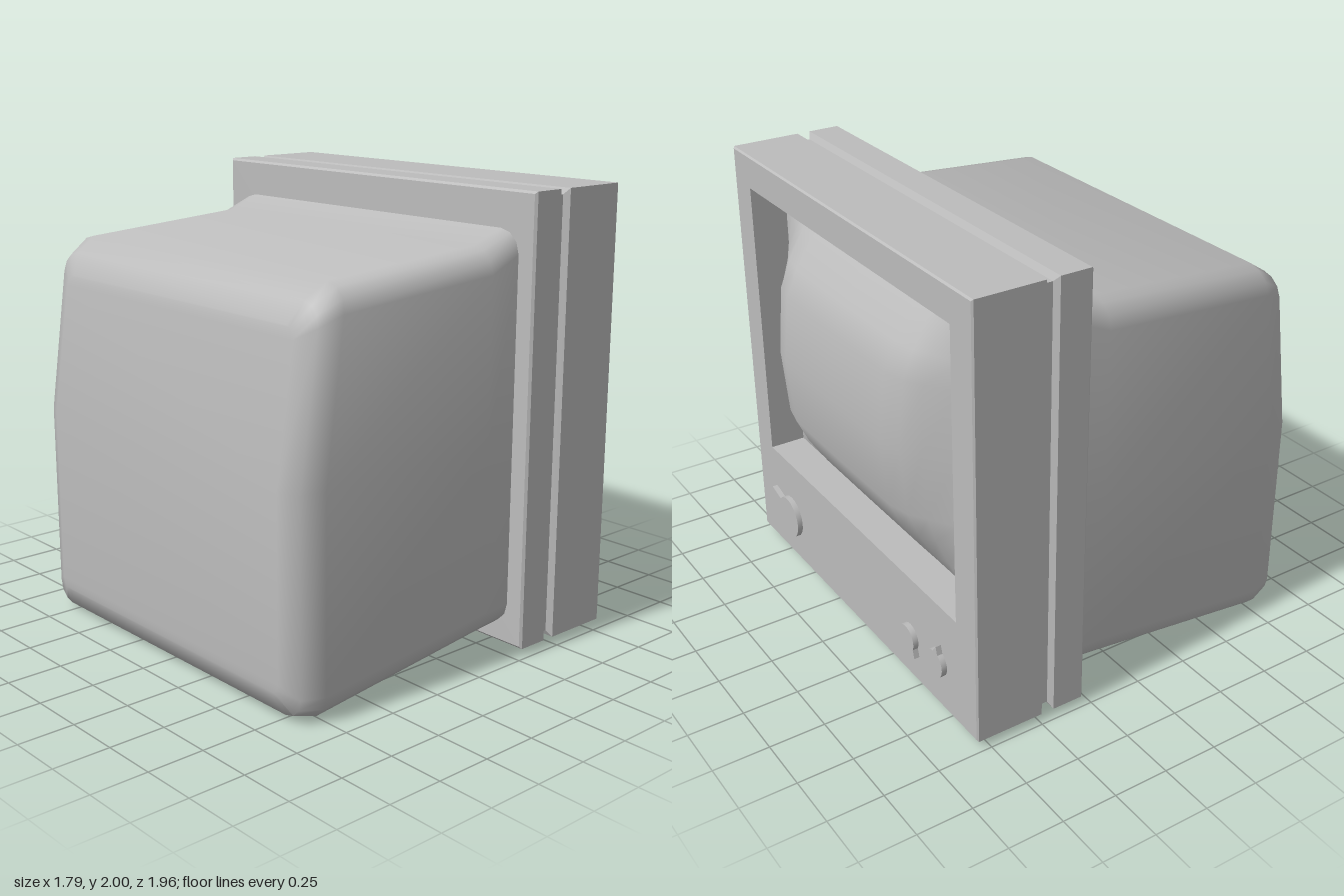
import * as THREE from 'three';
import { toCreasedNormals } from 'three/addons/utils/BufferGeometryUtils.js';

// Skin a list of equal-length closed rings (running back to front).
function loft(rings, crease, capBack = false) {
  const n = rings[0].length, pos = [];
  const quad = (a, b, c, d) => pos.push(...a, ...b, ...d, ...b, ...c, ...d);
  for (let i = 0; i < rings.length - 1; i++) {
    for (let j = 0; j < n; j++) {
      const k = (j + 1) % n;
      quad(rings[i][j], rings[i][k], rings[i + 1][k], rings[i + 1][j]);
    }
  }
  if (capBack) {
    const r = rings[0];
    for (let j = 0; j < n / 2 - 1; j++) quad(r[j], r[n - 1 - j], r[n - 2 - j], r[j + 1]);
  }
  const geo = new THREE.BufferGeometry();
  geo.setAttribute('position', new THREE.Float32BufferAttribute(pos, 3));
  return toCreasedNormals(geo, crease);
}

// Rectangle in the plane at x: top +z, bottom +z, bottom -z, top -z.
const rect = (x, y0, y1, hz) => [[x, y1, hz], [x, y0, hz], [x, y0, -hz], [x, y1, -hz]];

// Rounded section whose upper half leans from xBottom to xTop.
function bodyRing([xTop, yTop, xBottom, yBottom, hz, r]) {
  const half = [], steps = 3, yMid = 0.95;
  for (let i = 0; i <= steps; i++) {
    const a = (i / steps) * Math.PI / 2;
    half.push([yTop - r + r * Math.cos(a), hz - r + r * Math.sin(a)]);
  }
  half.push([yMid, hz]);
  for (let i = 0; i <= steps; i++) {
    const a = (i / steps) * Math.PI / 2;
    half.push([yBottom + r - r * Math.sin(a), hz - r + r * Math.cos(a)]);
  }
  const side = half.map(([y, z]) => {
    const t = Math.max(0, (y - yMid) / (yTop - yMid));
    return [xBottom + (xTop - xBottom) * t, y, z];
  });
  return [...side, ...side.slice().reverse().map(([x, y, z]) => [x, y, -z])];
}

// Bulging tube face over a coarse grid.
function screenGeometry() {
  const edge = 0.64, bulge = 0.25, yMid = 1.1975, hy = 0.6525, hz = 0.83;
  const vs = [[0, 1], [0.46, 0.88], [0.64, 0.66], [0.84, 0.32], [1, 0]];
  const ws = [[0, 1], [0.5, 0.99], [0.63, 0.88], [0.72, 0.66], [0.86, 0.32], [1, 0]];
  const mirror = (list) => [...list.slice(1).reverse().map(([p, h]) => [-p, h]), ...list];
  const rows = mirror(vs), cols = mirror(ws), pos = [], index = [];
  for (const [v, a] of rows) {
    for (const [w, b] of cols) pos.push(edge + bulge * a * b, yMid + v * hy, w * hz);
  }
  const n = cols.length;
  for (let i = 0; i < rows.length - 1; i++) {
    for (let j = 0; j < n - 1; j++) {
      const a = i * n + j, b = a + 1, c = a + n, d = c + 1;
      index.push(a, c, b, b, c, d);
    }
  }
  const geo = new THREE.BufferGeometry();
  geo.setAttribute('position', new THREE.Float32BufferAttribute(pos, 3));
  geo.setIndex(index);
  geo.computeVertexNormals();
  return geo;
}

// Round dial with a pointer spike, lying on the front panel.
function knobGeometry(r, reach, angle, spread) {
  const s = new THREE.Shape();
  s.moveTo(reach * Math.cos(angle), reach * Math.sin(angle));
  for (let i = 0; i <= 20; i++) {
    const a = angle + spread + (i / 20) * (Math.PI * 2 - spread * 2);
    s.lineTo(r * Math.cos(a), r * Math.sin(a));
  }
  s.closePath();
  const geo = new THREE.ExtrudeGeometry(s, { depth: 0.03, bevelEnabled: false });
  geo.rotateY(Math.PI / 2);
  return toCreasedNormals(geo, 0.6);
}

export function createModel() {
  const group = new THREE.Group();
  const grey = new THREE.MeshStandardMaterial({ color: 0xbcbcbc });
  grey.name = 'grey';
  const add = (name, geo) => {
    const mesh = new THREE.Mesh(geo, grey);
    mesh.name = name;
    group.add(mesh);
    return mesh;
  };

  // Rear housing: xTop, yTop, xBottom, yBottom, half width, corner radius
  const housing = [
    [-0.81, 1.57, -0.90, 0.12, 0.77, 0.05],
    [-0.76, 1.66, -0.86, 0.03, 0.86, 0.09],
    [-0.66, 1.725, -0.76, 0.005, 0.895, 0.11],
    [0.13, 1.78, 0.13, 0.105, 0.895, 0.11],
    [0.285, 1.84, 0.285, 0.125, 0.895, 0.1],
  ];
  add('rearHousing', loft(housing.map(bodyRing), 1.0, true));

  // Front frame: x and inset of the outer skin, with a groove all round
  const skin = [
    [0.28, 0.25], [0.28, 0.01], [0.29, 0], [0.43, 0], [0.445, 0.027],
    [0.475, 0.027], [0.49, 0], [0.798, 0], [0.805, 0.008],
  ].map(([x, d]) => rect(x, 0.04 + d, 2 - d, 0.98 - d));
  // Opening and its inner walls
  skin.push(rect(0.805, 0.545, 1.85, 0.83), rect(0.64, 0.545, 1.85, 0.83));
  add('frontFrame', loft(skin, 0.6));

  add('screen', screenGeometry());

  // Control knobs: name, z, y, radius, pointer reach, angle, pointer half spread
  const knobs = [
    ['largeKnob', 0.65, 0.255, 0.1, 0.182, 2.62, 0.2],
    ['innerSmallKnob', -0.46, 0.245, 0.063, 0.096, -0.79, 0.32],
    ['outerSmallKnob', -0.69, 0.262, 0.063, 0.096, 1.38, 0.28],
  ];
  for (const [name, z, y, ...shape] of knobs) {
    add(name, knobGeometry(...shape)).position.set(0.8, y, z);
  }
  return group;
}
